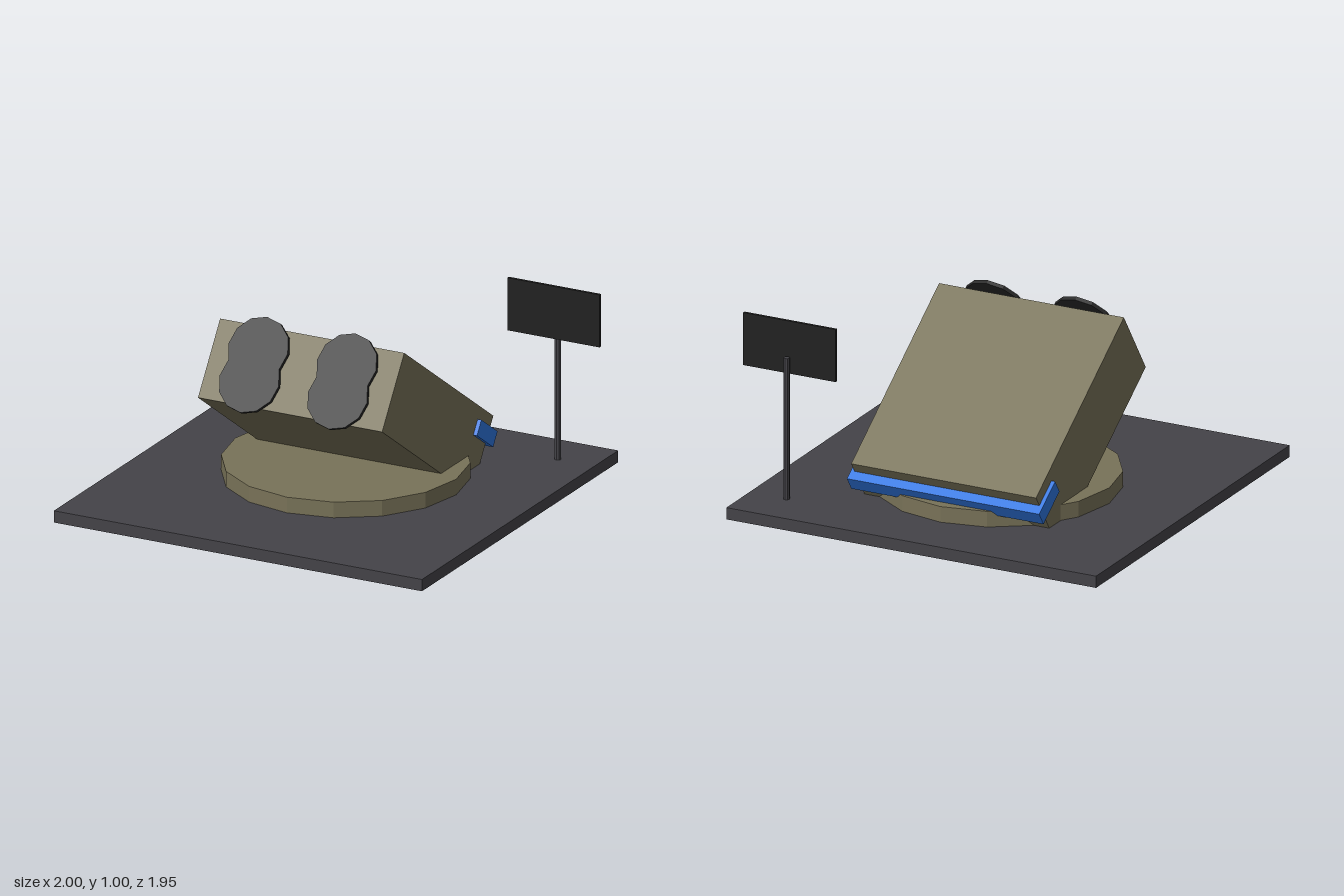
import * as THREE from 'three';

const paint = (name, color) => {
  const m = new THREE.MeshStandardMaterial({ color });
  m.name = name;
  return m;
};

// Faceted copy of a geometry, one normal per face
const faceted = (geometry) => {
  const g = geometry.toNonIndexed();
  g.computeVertexNormals();
  return g;
};

export function createModel() {
  const olive = paint('olive', 0x787258);
  const slate = paint('slate', 0x444348);
  const blue = paint('blue', 0x2f76e0);
  const charcoal = paint('charcoal', 0x272727);
  const black = paint('black', 0x212121);

  const model = new THREE.Group();
  model.name = 'model';
  const add = (parent, name, geometry, material, x, y, z) => {
    const mesh = new THREE.Mesh(geometry, material);
    mesh.name = name;
    mesh.position.set(x, y, z);
    parent.add(mesh);
    return mesh;
  };
  const box = (w, h, d) => new THREE.BoxGeometry(w, h, d);
  const cx = -0.025; // centre line of the base

  // Base slab and round turntable
  add(model, 'baseSlab', box(1.95, 0.0585, 1.95), slate, cx, 0.0975, 0);
  add(model, 'turntable', faceted(new THREE.CylinderGeometry(0.585, 0.585, 0.078, 16)), olive, cx, 0.166, -0.097);

  // Tilted body, sunk through the base at its lower rear edge
  const body = new THREE.Group();
  body.name = 'tiltedBody';
  body.position.set(cx, 0.464, -0.096);
  body.rotation.x = -0.6;
  model.add(body);
  add(body, 'bodyBox', box(0.975, 0.39, 1.0725), olive, 0, 0, 0);
  add(body, 'rearBand', box(1.014, 0.078, 0.195), blue, 0, 0.0965, -0.4865);

  // Pairs of overlapping round plates in front of the body
  const disc = faceted(new THREE.CylinderGeometry(0.156, 0.156, 0.0195, 12).rotateX(Math.PI / 2));
  for (const side of [-1, 1]) {
    const plate = new THREE.Group();
    plate.name = side < 0 ? 'rightFrontPlate' : 'leftFrontPlate';
    plate.position.set(side * 0.234, 0, 0.566);
    body.add(plate);
    add(plate, 'upperDisc', disc, charcoal, 0, 0.08, 0);
    add(plate, 'lowerDisc', disc, charcoal, 0, -0.08, 0);
  }

  // Sign on a post at the rear left corner
  add(model, 'signPost', faceted(new THREE.CylinderGeometry(0.0156, 0.0156, 0.706, 8)), slate, 0.755, 0.479, -0.741);
  add(model, 'signBoard', box(0.4875, 0.262, 0.015), black, 0.756, 0.873, -0.703);

  return model;
}
